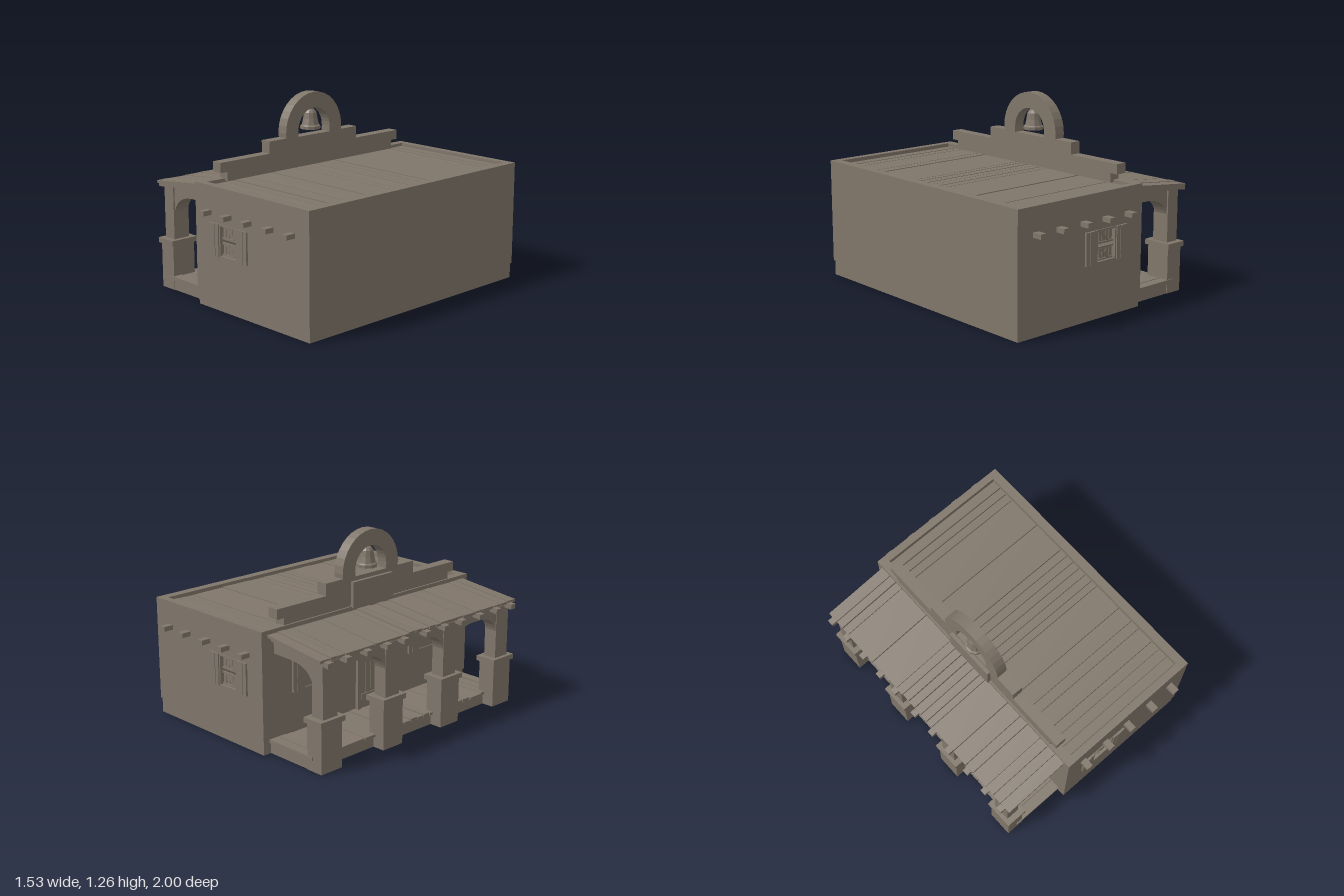
import * as THREE from 'three';

const adobe = new THREE.MeshStandardMaterial({ color: 0x80766a });
adobe.name = 'weathered adobe';

let seed = 7;
const jitter = (a) => {
  seed = (seed * 16807) % 2147483647;
  return (seed / 2147483647 - 0.5) * 2 * a;
};

function add(parent, name, geometry) {
  const mesh = new THREE.Mesh(geometry, adobe);
  mesh.name = name;
  parent.add(mesh);
  return mesh;
}

// box given by its limits on each axis
function box(parent, name, x0, x1, y0, y1, z0, z1) {
  const mesh = add(parent, name, new THREE.BoxGeometry(x1 - x0, y1 - y0, z1 - z0));
  mesh.position.set((x0 + x1) / 2, (y0 + y1) / 2, (z0 + z1) / 2);
  return mesh;
}

const polygon = (pts) => new THREE.Shape(pts.map(([x, y]) => new THREE.Vector2(x, y)));
const rect = (x0, x1, y0, y1) => polygon([[x0, y0], [x1, y0], [x1, y1], [x0, y1]]);
const extrude = (shape, depth) =>
  new THREE.ExtrudeGeometry(shape, { depth, bevelEnabled: false, curveSegments: 8 });

// shape drawn in (z, y), extruded from x1 towards -x
function extrudeAcross(parent, name, shape, x1, depth) {
  const mesh = add(parent, name, extrude(shape, depth));
  mesh.rotation.y = -Math.PI / 2;
  mesh.position.x = x1;
  return mesh;
}

// boards running along x, separated at the given z values
const seams = [-0.81, -0.75, -0.69, -0.44, -0.2, -0.14, -0.08, -0.02, 0.04, 0.1, 0.15,
  0.36, 0.48, 0.55, 0.67, 0.74, 0.81];
function boards(parent, name, x0, x1, y0, y1, zEnd, wobble) {
  const cuts = [-zEnd, ...seams, zEnd];
  for (let i = 0; i < cuts.length - 1; i++) {
    const b = box(parent, name, x0 + Math.abs(jitter(wobble)), x1, y0, y1 + jitter(0.003),
      cuts[i] + 0.003, cuts[i + 1] - 0.003);
    b.rotation.x = jitter(0.012);
  }
}

// window fittings centred on the origin, facing +z
function windowFittings() {
  const g = new THREE.Group();
  g.name = 'window';
  for (const s of [-1, 1]) {
    // open shutter made of three boards
    for (let i = 0; i < 3; i++) {
      const c = s * (0.101 + i * 0.031);
      box(g, 'shutterBoard', c - 0.015, c + 0.015, -0.105 + (i === 1 ? 0.003 : 0), 0.105, -0.002, 0.013 + (i % 2) * 0.003);
    }
    box(g, 'windowJamb', s * 0.08 - 0.005, s * 0.08 + 0.005, -0.105, 0.105, -0.045, 0.006);
    box(g, 'windowRail', -0.08, 0.08, s * 0.1 - 0.005, s * 0.1 + 0.005, -0.045, 0.006);
    // crooked boarded panel with a diagonal brace
    const y = s * 0.053;
    for (let i = 0; i < 5; i++) {
      const c = -0.06 + i * 0.03;
      const b = box(g, 'panelBoard', c - 0.0125, c + 0.0125, y - 0.042, y + 0.04, -0.03, -0.02);
      b.rotation.z = jitter(0.05);
    }
    for (const e of [-1, 1]) {
      box(g, 'panelRail', -0.075, 0.075, y + e * 0.038 - 0.006, y + e * 0.038 + 0.006, -0.022, -0.012);
    }
    const brace = box(g, 'panelBrace', -0.05, 0.05, y - 0.006, y + 0.006, -0.021, -0.011);
    brace.rotation.z = -0.75;
  }
  return g;
}

export function createModel() {
  const model = new THREE.Group();
  model.name = 'adobeMission';

  // main building
  const house = new THREE.Group();
  house.name = 'house';
  model.add(house);
  box(house, 'foundation', -0.265, 0.758, 0, 0.102, -0.928, 0.928);
  box(house, 'rearWall', 0.705, 0.765, 0.1, 0.795, -0.935, 0.935);
  box(house, 'porchWall', -0.272, -0.212, 0.1, 0.795, -0.935, 0.935);
  for (const s of [-1, 1]) {
    const shape = rect(-0.212, 0.705, 0.1, 0.795);
    shape.holes.push(rect(-0.04, 0.13, 0.355, 0.565));
    const wall = add(house, 'sideWall', extrude(shape, 0.05));
    wall.position.z = s > 0 ? 0.885 : -0.935;

    const win = windowFittings();
    win.position.set(0.045, 0.46, s * 0.935);
    if (s < 0) win.rotation.y = Math.PI;
    house.add(win);

    const porchWin = windowFittings();
    porchWin.position.set(-0.272 - 0.033, 0.46, s * 0.52);
    porchWin.rotation.y = -Math.PI / 2;
    porchWin.position.x = -0.275;
    house.add(porchWin);

    // projecting roof beams
    for (const x of [-0.137, 0.055, 0.241, 0.439, 0.624]) {
      box(house, 'beamEnd', x - 0.022, x + 0.022, 0.61, 0.641, s > 0 ? 0.92 : -1, s > 0 ? 1 : -0.92);
    }
  }
  box(house, 'roofDeck', -0.215, 0.708, 0.745, 0.757, -0.888, 0.888);
  boards(house, 'roofBoard', -0.212, 0.7, 0.75, 0.773, 0.88, 0);

  // boarded door in the porch wall
  for (let i = 0; i < 5; i++) {
    const z = -0.092 + i * 0.046;
    box(house, 'doorBoard', -0.282, -0.27, 0.09, 0.5, z - 0.021, z + 0.021);
  }
  for (const y of [0.17, 0.42]) box(house, 'doorBatten', -0.288, -0.278, y - 0.018, y + 0.018, -0.11, 0.11);
  for (const s of [-1, 1]) box(house, 'doorPost', -0.292, -0.27, 0.09, 0.525, s * 0.13 - 0.015, s * 0.13 + 0.015);
  box(house, 'doorLintel', -0.295, -0.27, 0.505, 0.54, -0.165, 0.165);

  // stepped bell gable with an arched opening
  const tower = new THREE.Group();
  tower.name = 'bellGable';
  model.add(tower);
  const gable = polygon([[-0.745, 0.78], [0.745, 0.78], [0.745, 0.84], [0.8, 0.84], [0.8, 0.905],
    [0.395, 0.905], [0.395, 0.985], [0.247, 0.985]]);
  gable.absarc(0, 1.015, 0.25, 0, Math.PI, false);
  gable.lineTo(-0.247, 0.985);
  gable.lineTo(-0.395, 0.985);
  gable.lineTo(-0.395, 0.905);
  gable.lineTo(-0.8, 0.905);
  gable.lineTo(-0.8, 0.84);
  gable.lineTo(-0.745, 0.84);
  const opening = new THREE.Path();
  opening.moveTo(-0.14, 0.982);
  opening.lineTo(0.14, 0.982);
  opening.absarc(0, 1.02, 0.141, 0, Math.PI, false);
  gable.holes.push(opening);
  extrudeAcross(tower, 'gableWall', gable, -0.185, 0.075);
  box(tower, 'gablePlaque', -0.284, -0.255, 0.785, 0.955, -0.18, 0.18);

  const profile = [[0.0, 1.022], [0.05, 1.022], [0.056, 1.014], [0.068, 1.016], [0.068, 1.036], [0.057, 1.045],
    [0.048, 1.085], [0.042, 1.125], [0.028, 1.145], [0, 1.15]].map(([r, y]) => new THREE.Vector2(r, y));
  const bell = add(tower, 'bell', new THREE.LatheGeometry(profile, 10).toNonIndexed());
  bell.geometry.computeVertexNormals();
  bell.position.x = -0.2225;
  box(tower, 'bellHanger', -0.235, -0.21, 1.14, 1.175, -0.02, 0.02);

  // porch floor
  const porch = new THREE.Group();
  porch.name = 'porch';
  model.add(porch);
  box(porch, 'porchBase', -0.635, -0.26, 0, 0.073, -0.87, 0.87);
  boards(porch, 'porchFloorBoard', -0.655, -0.265, 0.07, 0.09, 0.885, 0.012);

  // pillars
  const pillars = [-0.79, -0.265, 0.265, 0.79];
  for (const z of pillars) {
    box(porch, 'pillarBase', -0.72, -0.598, 0, 0.305, z - 0.085, z + 0.085);
    box(porch, 'pillarCap', -0.734, -0.584, 0.302, 0.336, z - 0.1, z + 0.1);
    box(porch, 'pillarShaft', -0.708, -0.615, 0.33, 0.688, z - 0.06, z + 0.06);
  }

  // arches between pillars
  for (let i = 0; i < 3; i++) {
    const a = pillars[i] + 0.058, b = pillars[i + 1] - 0.058;
    const arch = new THREE.Shape();
    arch.moveTo(a, 0.69);
    arch.lineTo(a, 0.52);
    arch.quadraticCurveTo(a + 0.03, 0.637, a + 0.17, 0.637);
    arch.lineTo(b - 0.17, 0.637);
    arch.quadraticCurveTo(b - 0.03, 0.637, b, 0.52);
    arch.lineTo(b, 0.69);
    extrudeAcross(porch, 'frontArch', arch, -0.62, 0.083);
  }

  // half arches from the end pillars back to the wall
  for (const z of [pillars[0], pillars[3]]) {
    const arch = new THREE.Shape();
    arch.moveTo(-0.617, 0.695);
    arch.lineTo(-0.617, 0.52);
    arch.quadraticCurveTo(-0.58, 0.63, -0.44, 0.637);
    arch.lineTo(-0.265, 0.642);
    arch.lineTo(-0.265, 0.735);
    const mesh = add(porch, 'endArch', extrude(arch, 0.1));
    mesh.position.z = z - 0.05;
  }

  // sloping porch roof: rafters below boards
  const roof = new THREE.Group();
  roof.name = 'porchRoof';
  roof.position.set(-0.265, 0.77, 0);
  roof.rotation.z = 0.109;
  porch.add(roof);
  boards(roof, 'porchRoofBoard', -0.472, 0, -0.018, 0, 0.893, 0.006);
  for (const z of [-0.84, -0.69, -0.52, -0.35, -0.2, 0, 0.17, 0.33, 0.51, 0.68, 0.83]) {
    box(roof, 'rafter', -0.506, 0, -0.046, -0.012, z - 0.021, z + 0.021);
  }
  return model;
}
